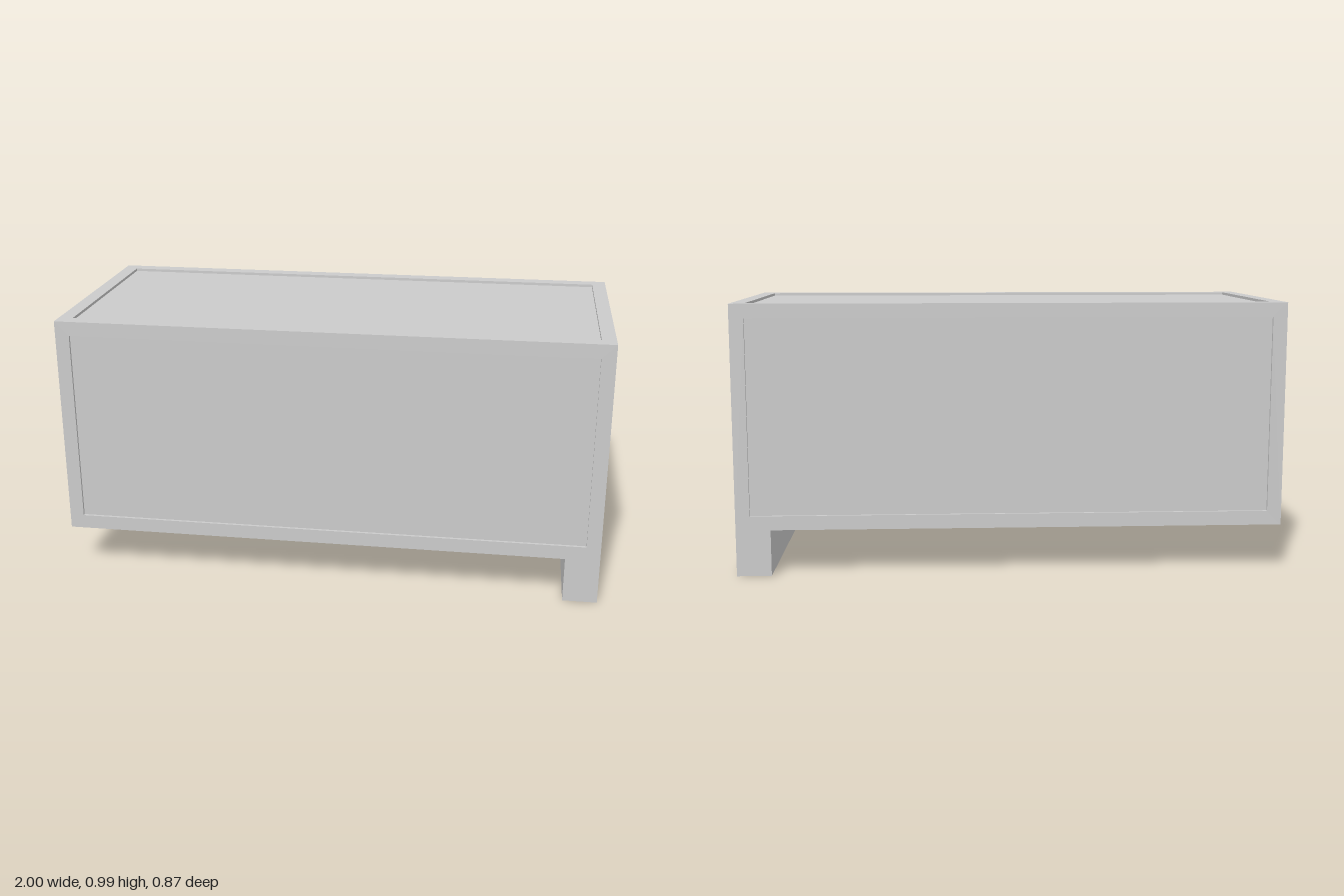
import * as THREE from 'three';

const W = 2, D = 0.874, BOTTOM = 0.17, TOP = 0.99;
const H = TOP - BOTTOM, MID = (TOP + BOTTOM) / 2;
const RIM = 0.052, RECESS = 0.01;

export function createModel() {
  const group = new THREE.Group();
  const material = new THREE.MeshStandardMaterial({ color: 0xcccccc, flatShading: true });

  const add = (name, geometry, x, y, z, rx = 0, ry = 0) => {
    const mesh = new THREE.Mesh(geometry, material);
    mesh.name = name;
    mesh.position.set(x, y, z);
    mesh.rotation.set(rx, ry, 0);
    group.add(mesh);
  };

  // Flat rectangular rim facing +z; rimX and rimY are its border widths
  const rim = (w, h, rimX, rimY) => {
    const rect = (target, a, b) =>
      target.moveTo(-a, -b).lineTo(a, -b).lineTo(a, b).lineTo(-a, b).closePath();
    const shape = rect(new THREE.Shape(), w / 2, h / 2);
    shape.holes.push(rect(new THREE.Path(), w / 2 - rimX, h / 2 - rimY));
    return new THREE.ExtrudeGeometry(shape, { depth: RECESS, bevelEnabled: false });
  };

  // Body whose sides and top are the recessed panels
  const inW = W - 2 * RECESS, inD = D - 2 * RECESS;
  add('body', new THREE.BoxGeometry(inW, H - RECESS, inD), 0, MID - RECESS / 2, 0);

  // Raised rims around the long sides, the ends and the top
  const longRim = rim(W, H, RIM, RIM);
  const endRim = rim(inD, H, RIM - RECESS, RIM);
  add('frontRim', longRim, 0, MID, inD / 2);
  add('backRim', longRim, 0, MID, -inD / 2, 0, Math.PI);
  add('leftRim', endRim, inW / 2, MID, 0, 0, Math.PI / 2);
  add('rightRim', endRim, -inW / 2, MID, 0, 0, -Math.PI / 2);
  add('topRim', rim(inW, inD, RIM - RECESS, RIM - RECESS), 0, TOP - RECESS, 0, -Math.PI / 2);

  // Full-depth foot under one end
  const footW = 0.126;
  add('foot', new THREE.BoxGeometry(footW, BOTTOM, D), W / 2 - footW / 2, BOTTOM / 2, 0);

  return group;
}
